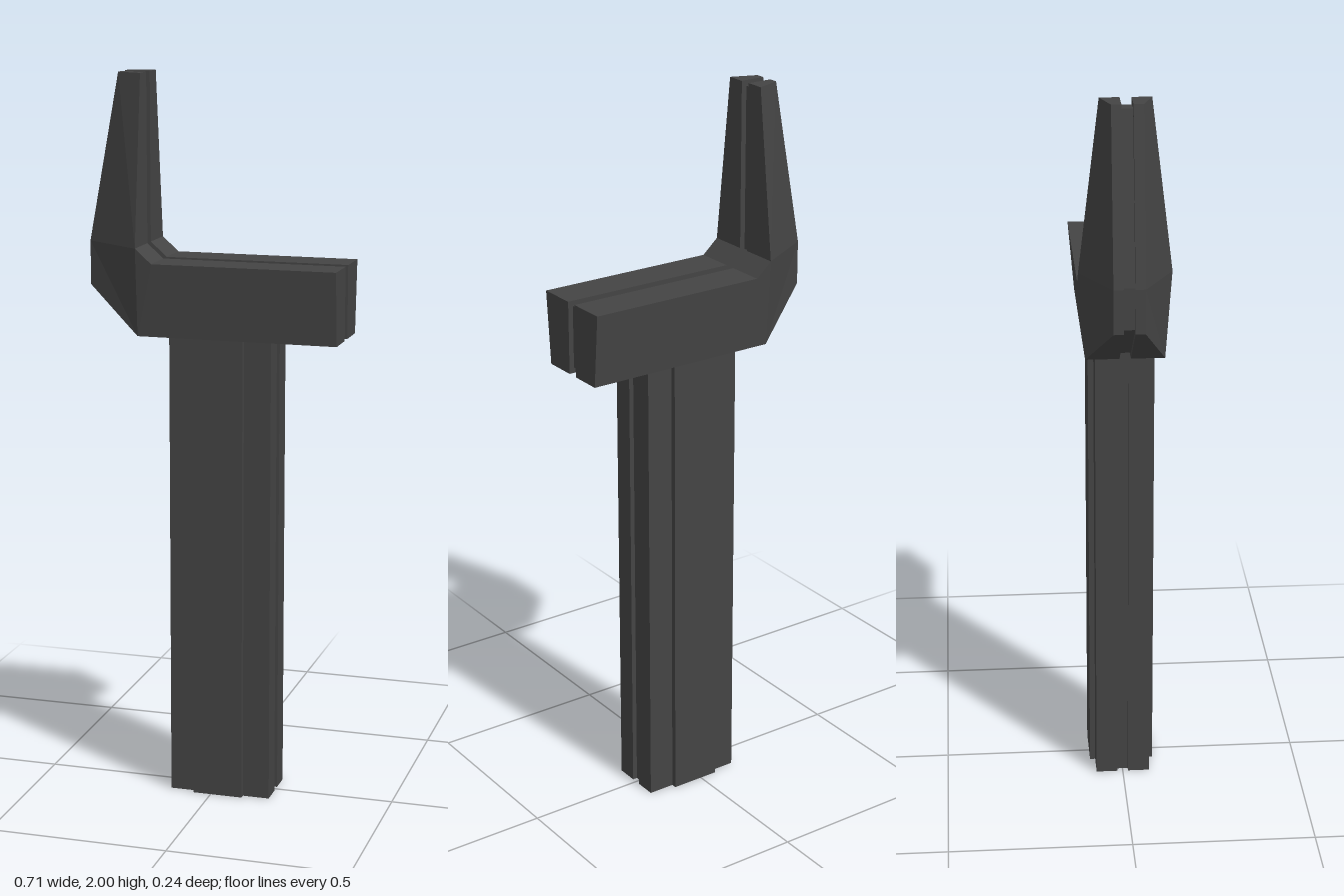
import * as THREE from 'three';

const material = new THREE.MeshStandardMaterial({ color: 0x444444, flatShading: true });
const GROOVE = 0.015; // half the width of the centre seam

function add(group, name, geometry) {
  const mesh = new THREE.Mesh(geometry, material);
  mesh.name = name;
  group.add(mesh);
  return mesh;
}

function extrude(points, depth) {
  const shape = new THREE.Shape(points.map(([x, y]) => new THREE.Vector2(x, y)));
  return new THREE.ExtrudeGeometry(shape, { depth, bevelEnabled: false });
}

// Head outline, clockwise from the blade tip: x, y and outer half-thickness
const outline = [
  [-0.27, 2, 0.041], [-0.2, 2, 0.067], [-0.2, 1.54, 0.122],
  [-0.155, 1.5, 0.122], [0.352, 1.5, 0.122], [0.352, 1.3, 0.105],
  [-0.2, 1.3, 0.105], [-0.354, 1.425, 0.041], [-0.354, 1.545, 0.041],
];
// Flat panels of the side: blade, rear wedge and body
const panels = [[0, 1, 2, 8], [8, 2, 6, 7], [6, 2, 3, 4, 5]];

// One half of the head, side = 1 (front) or -1 (back)
function headHalf(side) {
  const position = [];
  const outer = outline.map(([x, y, z]) => [x, y, z * side]);
  const inner = outline.map(([x, y]) => [x, y, GROOVE * side]);
  const tri = (a, b, c) => position.push(...a, ...(side > 0 ? [...c, ...b] : [...b, ...c]));
  for (const panel of panels) {
    for (let i = 1; i < panel.length - 1; i++) {
      const [a, b, c] = [panel[0], panel[i], panel[i + 1]];
      tri(outer[a], outer[b], outer[c]);
      tri(inner[a], inner[c], inner[b]);
    }
  }
  for (let i = 0; i < outline.length; i++) {
    const j = (i + 1) % outline.length;
    tri(outer[i], inner[i], inner[j]);
    tri(outer[i], inner[j], outer[j]);
  }
  const geometry = new THREE.BufferGeometry();
  geometry.setAttribute('position', new THREE.Float32BufferAttribute(position, 3));
  geometry.computeVertexNormals();
  return geometry;
}

export function createModel() {
  const model = new THREE.Group();
  model.name = 'handTool';

  // Head: two tapered halves around a slightly recessed core
  const head = new THREE.Group();
  head.name = 'head';
  model.add(head);
  add(head, 'headFrontHalf', headHalf(1));
  add(head, 'headBackHalf', headHalf(-1));
  const core = [
    [-0.255, 1.985], [-0.215, 1.985], [-0.215, 1.535], [-0.165, 1.486], [0.338, 1.486],
    [0.338, 1.315], [-0.195, 1.315], [-0.34, 1.432], [-0.34, 1.544],
  ];
  add(head, 'headCore', extrude(core, GROOVE * 2).translate(0, 0, -GROOVE));

  // Grip: stepped section with raised middle panels and a seam at each end
  const front = [
    [-0.107, GROOVE], [-0.12, GROOVE], [-0.12, 0.075], [-0.05, 0.075], [-0.05, 0.09],
    [0.09, 0.09], [0.09, 0.075], [0.165, 0.075], [0.165, GROOVE], [0.152, GROOVE],
  ];
  const back = front.map(([x, z]) => [x, -z]).reverse();
  add(model, 'grip', extrude([...front, ...back], 1.31).rotateX(-Math.PI / 2));

  return model;
}
